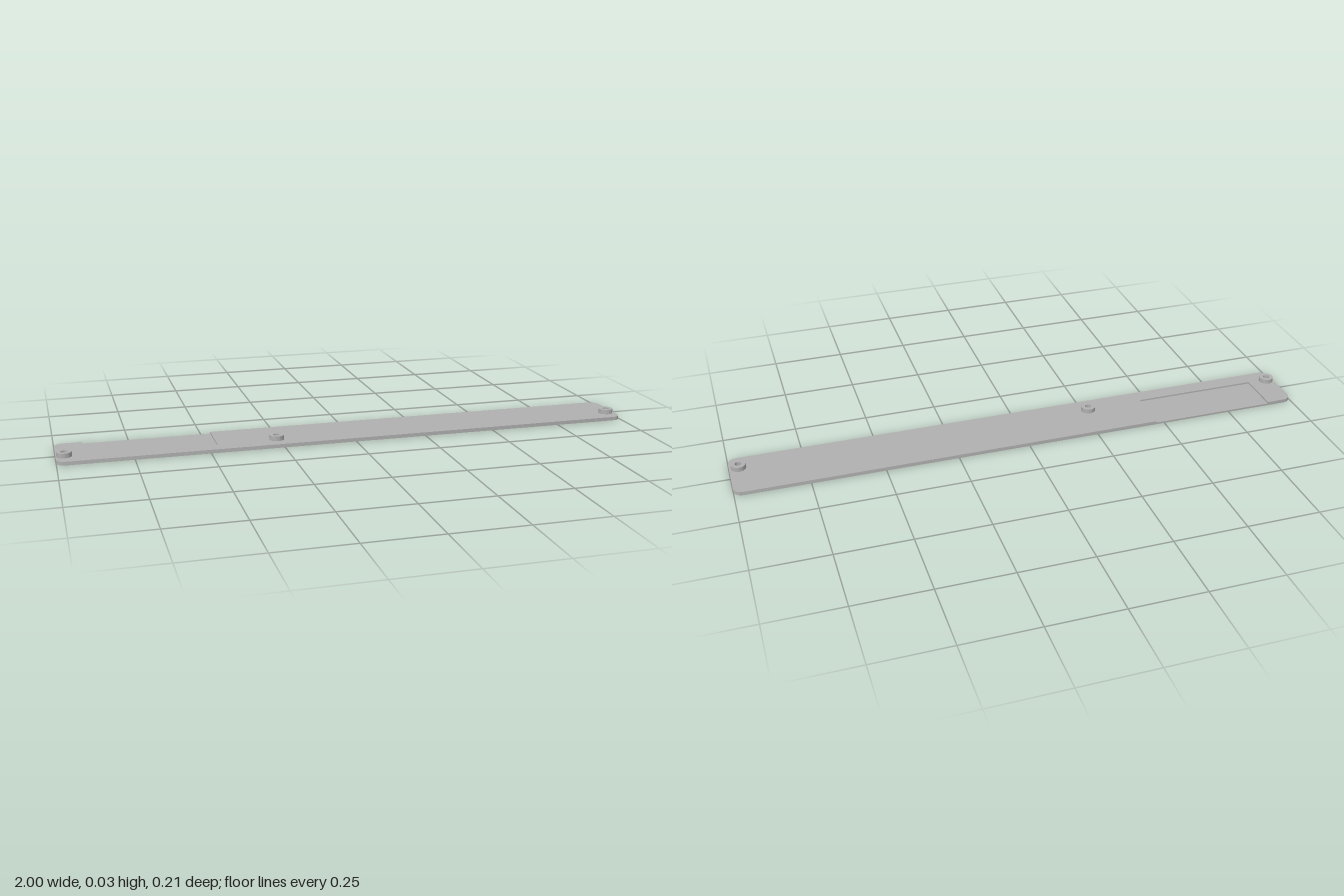
import * as THREE from 'three';
import { toCreasedNormals } from 'three/addons/utils/BufferGeometryUtils.js';

const HALF_L = 1, HALF_W = 0.104, CORNER = 0.03;
const FLOOR = 0.0065, PLATE_TOP = 0.0125, BOSS_TOP = 0.0285;
const BOSS_R = 0.025, BORE_R = 0.011, COUNTERBORE_R = 0.015;
const BOSS_X = [-0.972, -0.266, 0.968], BOSS_Z = 0.042;
const POCKET = { x0: -0.906, x1: -0.47, z: 0.05 };

// Plan outline drawn with shape y = -z; optionally notched along the back edge
function plateShape(notched) {
  const s = new THREE.Shape(), l = HALF_L, w = HALF_W, r = CORNER;
  s.moveTo(-l + r, -w);
  s.lineTo(l - r, -w);
  s.absarc(l - r, -w + r, r, -Math.PI / 2, 0);
  s.lineTo(l, w - r);
  s.absarc(l - r, w - r, r, 0, Math.PI / 2);
  if (notched) {
    s.lineTo(POCKET.x1, w);
    s.lineTo(POCKET.x1, -POCKET.z);
    s.lineTo(POCKET.x0, -POCKET.z);
    s.lineTo(POCKET.x0, w);
  }
  s.lineTo(-l + r, w);
  s.absarc(-l + r, w - r, r, Math.PI / 2, Math.PI);
  s.lineTo(-l, -w + r);
  s.absarc(-l + r, -w + r, r, Math.PI, Math.PI * 1.5);
  for (const x of BOSS_X) s.holes.push(circle(new THREE.Path(), x, -BOSS_Z, COUNTERBORE_R));
  return s;
}

function circle(path, x, y, r) {
  path.absarc(x, y, r, 0, Math.PI * 2);
  return path;
}

// Extrude a plan shape upward between two heights
function slab(name, shape, y0, y1, material) {
  const geo = new THREE.ExtrudeGeometry(shape, { depth: y1 - y0, bevelEnabled: false, curveSegments: 20 });
  geo.rotateX(-Math.PI / 2);
  geo.translate(0, y0, 0);
  const mesh = new THREE.Mesh(toCreasedNormals(geo, 0.6), material);
  mesh.name = name;
  return mesh;
}

export function createModel() {
  const group = new THREE.Group();
  group.name = 'mountingStrip';
  const grey = new THREE.MeshStandardMaterial({ color: 0xb0b0b0 });
  grey.name = 'plain grey';

  // Full base layer, then the upper layer that leaves the open pocket
  group.add(slab('basePlate', plateShape(false), 0, FLOOR, grey));
  group.add(slab('pocketedTopPlate', plateShape(true), FLOOR, PLATE_TOP, grey));

  // Bored screw bosses
  BOSS_X.forEach((x, i) => {
    const ring = circle(new THREE.Shape(), x, -BOSS_Z, BOSS_R);
    ring.holes.push(circle(new THREE.Path(), x, -BOSS_Z, BORE_R));
    group.add(slab('screwBoss' + (i + 1), ring, PLATE_TOP, BOSS_TOP, grey));
  });
  return group;
}
